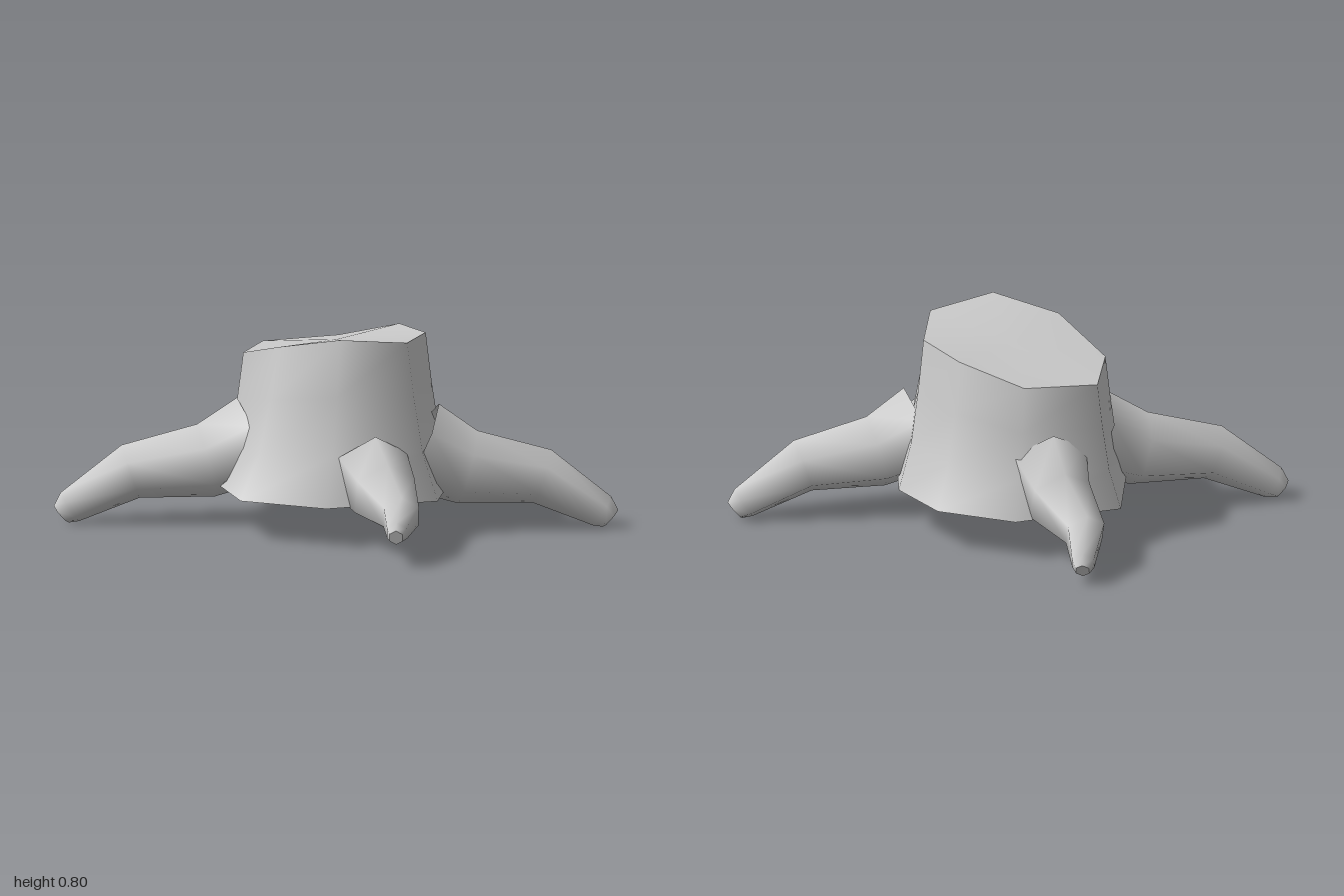
import * as THREE from 'three';

const v = (x, y, z) => new THREE.Vector3(x, y, z);
const material = new THREE.MeshStandardMaterial({ color: 0xcccccc, side: THREE.DoubleSide });

// Skin a list of equal-sized point loops, open at the start and capped with a sharp edge at the end.
function loft(name, rings) {
  const n = rings[0].length;
  const points = rings.flat();
  const index = [];
  for (let i = 0; i < rings.length - 1; i++) {
    for (let j = 0; j < n; j++) {
      const a = i * n + j, b = i * n + (j + 1) % n;
      index.push(a, a + n, b, b, a + n, b + n);
    }
  }
  const last = rings[rings.length - 1];
  const centre = v(0, 0, 0);
  last.forEach((p) => centre.addScaledVector(p, 1 / n));
  const start = points.length;
  points.push(...last, centre);
  for (let j = 0; j < n; j++) index.push(start + n, start + (j + 1) % n, start + j);

  const geometry = new THREE.BufferGeometry().setFromPoints(points);
  geometry.setIndex(index);
  geometry.computeVertexNormals();
  const mesh = new THREE.Mesh(geometry, material);
  mesh.name = name;
  return mesh;
}

// Six-sided tapering limb with a ridge on top; each station is [x, y, z, radius].
function root(name, stations, sides = 6) {
  const centres = stations.map(([x, y, z]) => v(x, y, z));
  const rings = stations.map((station, i) => {
    const before = centres[Math.max(i - 1, 0)];
    const after = centres[Math.min(i + 1, centres.length - 1)];
    const forward = after.clone().sub(before).normalize();
    const side = v(0, 1, 0).cross(forward).normalize();
    const up = side.clone().cross(forward);
    return Array.from({ length: sides }, (_, j) => {
      const angle = (j / sides + 0.25) * Math.PI * 2;
      return centres[i].clone()
        .addScaledVector(side, Math.cos(angle) * station[3])
        .addScaledVector(up, Math.sin(angle) * station[3]);
    });
  });
  return loft(name, rings);
}

export function createModel() {
  const stump = new THREE.Group();
  stump.name = 'treeStump';

  // Trunk: irregular octagon, flared at the foot and cut at a slant
  const top = [
    v(-0.22, 0.67, -0.34), v(0.055, 0.745, -0.33), v(0.26, 0.76, -0.17), v(0.335, 0.78, 0.12),
    v(0.147, 0.81, 0.326), v(-0.126, 0.755, 0.326), v(-0.39, 0.67, 0.13), v(-0.46, 0.655, -0.16),
  ];
  const foot = [
    v(-0.24, 0.17, -0.5), v(0.09, 0.17, -0.48), v(0.32, 0.17, -0.29), v(0.495, 0.17, 0.165),
    v(0.18, 0.17, 0.5), v(-0.185, 0.17, 0.53), v(-0.43, 0.17, 0.28), v(-0.575, 0.17, -0.21),
  ];
  // [height fraction, share of the flare]
  const flare = [[0, 1], [0.3, 0.5], [0.65, 0.22], [1, 0]];
  stump.add(loft('trunk', flare.map(([h, f]) => top.map((t, j) => {
    const p = t.clone().lerp(foot[j], f);
    p.y = THREE.MathUtils.lerp(0.17, t.y, h);
    return p;
  }))));

  // Two long roots
  stump.add(root('backLeftRoot', [
    [0.32, 0.34, -0.01, 0.185], [0.48, 0.255, -0.11, 0.15],
    [0.73, 0.215, -0.26, 0.112], [0.935, 0.075, -0.375, 0.068], [0.965, 0.045, -0.39, 0.045],
  ]));
  stump.add(root('frontRightRoot', [
    [-0.33, 0.335, 0.15, 0.18], [-0.48, 0.255, 0.27, 0.15],
    [-0.73, 0.215, 0.43, 0.112], [-0.935, 0.075, 0.55, 0.068], [-0.965, 0.045, 0.565, 0.045],
  ]));

  // Two short roots
  stump.add(root('frontLeftRoot', [
    [0.25, 0.28, 0.27, 0.165], [0.37, 0.22, 0.37, 0.135],
    [0.53, 0.18, 0.53, 0.08], [0.585, 0.145, 0.665, 0.045], [0.6, 0.135, 0.7, 0.03],
  ]));
  stump.add(root('backRightRoot', [
    [-0.28, 0.33, -0.26, 0.175], [-0.38, 0.24, -0.38, 0.135],
    [-0.54, 0.17, -0.53, 0.085], [-0.58, 0.095, -0.665, 0.05], [-0.59, 0.075, -0.7, 0.03],
  ]));

  return stump;
}
